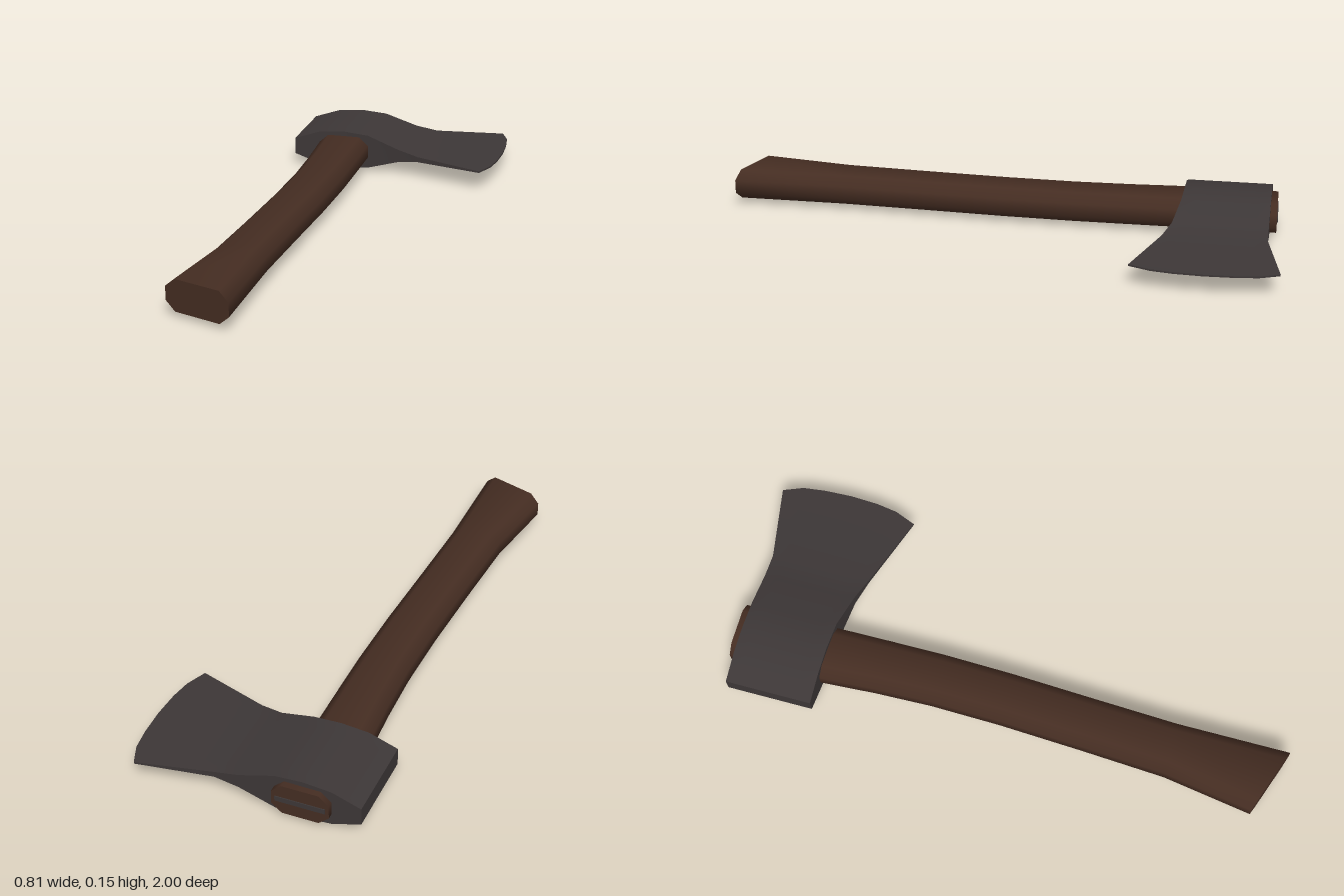
import * as THREE from 'three';
import { toCreasedNormals } from 'three/addons/utils/BufferGeometryUtils.js';

const CY = 0.075; // height of the axe's mid-plane as it lies flat

// Skin equal-sized rings (counter-clockwise seen along the loft direction) and cap both ends
function loft(rings, crease) {
  const n = rings[0].length;
  const last = rings.length - 1;
  const index = [];
  const quad = (a, b, c, d) => index.push(a, b, c, a, c, d);
  for (let r = 0; r < last; r++) {
    for (let i = 0; i < n; i++) {
      const j = (i + 1) % n;
      quad(r * n + i, r * n + j, (r + 1) * n + j, (r + 1) * n + i);
    }
  }
  const e = last * n;
  for (let i = 0; i < n / 2 - 1; i++) {
    quad(e + i, e + i + 1, e + n - 2 - i, e + n - 1 - i);
    quad(n - 1 - i, n - 2 - i, i + 1, i);
  }
  const geometry = new THREE.BufferGeometry();
  geometry.setAttribute('position', new THREE.Float32BufferAttribute(rings.flat(2), 3));
  geometry.setIndex(index);
  return toCreasedNormals(geometry, crease);
}

// Eight-sided handle outline between two x limits; end(x) gives the z of each point
function handleRing(x0, x1, end) {
  const c = 0.035, h = 0.055, s = 0.024;
  return [
    [x1, -s], [x1, s], [x1 - c, h], [x0 + c, h],
    [x0, s], [x0, -s], [x0 + c, -h], [x1 - c, -h],
  ].map(([x, y]) => [x, CY + y, end(x)]);
}

// Head outline at one x: upper face front to back, then lower face returning
const steps = [0, 0.14, 0.3, 0.5, 0.7, 0.85, 1];
function headRing(x, h, z0, z1, bow = []) {
  const top = steps.map((t, i) => [x + (bow[i] ?? 0), CY + h, z0 + (z1 - z0) * t]);
  const bottom = top.map(([px, , pz]) => [px, CY - h, pz]).reverse();
  return [...top, ...bottom];
}

export function createModel() {
  const steel = new THREE.MeshStandardMaterial({ name: 'dark steel', color: 0x3d3737 });
  const wood = new THREE.MeshStandardMaterial({ name: 'brown wood', color: 0x452d22 });
  const group = new THREE.Group();
  group.name = 'axe';
  const add = (name, geometry, material) => {
    const mesh = new THREE.Mesh(geometry, material);
    mesh.name = name;
    group.add(mesh);
    return mesh;
  };

  // Curved handle with a flared, slanted butt
  const rings = [
    [-0.98, -0.305, -0.11], [-0.65, -0.305, -0.11], [-0.45, -0.293, -0.108],
    [-0.25, -0.287, -0.107], [0, -0.292, -0.113], [0.3, -0.307, -0.127], [0.6, -0.325, -0.14],
  ].map(([z, x0, x1]) => handleRing(x0, x1, () => z));
  rings.push(handleRing(-0.375, -0.14, (x) => 1 + (x + 0.14) * 0.36));
  add('handle', loft(rings, 0.95), wood);

  // Head: blunt poll, swollen eye, then a blade flaring to a bowed edge
  const head = [
    headRing(-0.405, 0.031, -0.96, -0.652),
    headRing(-0.305, 0.065, -0.958, -0.65),
    headRing(-0.207, 0.073, -0.957, -0.648),
    headRing(-0.11, 0.065, -0.955, -0.643),
    headRing(0.015, 0.025, -0.953, -0.62),
    headRing(0.1, 0.01, -0.953, -0.592),
    headRing(0.36, 0.003, -1, -0.5, [0, 0.028, 0.038, 0.042, 0.037, 0.025, -0.005]),
  ];
  add('head', loft(head, 0.6), steel);

  // Thin wedge set into the top end of the handle
  const wedge = add('wedge', new THREE.BoxGeometry(0.17, 0.018, 0.008), steel);
  wedge.position.set(-0.2075, CY, -0.979);

  return group;
}
